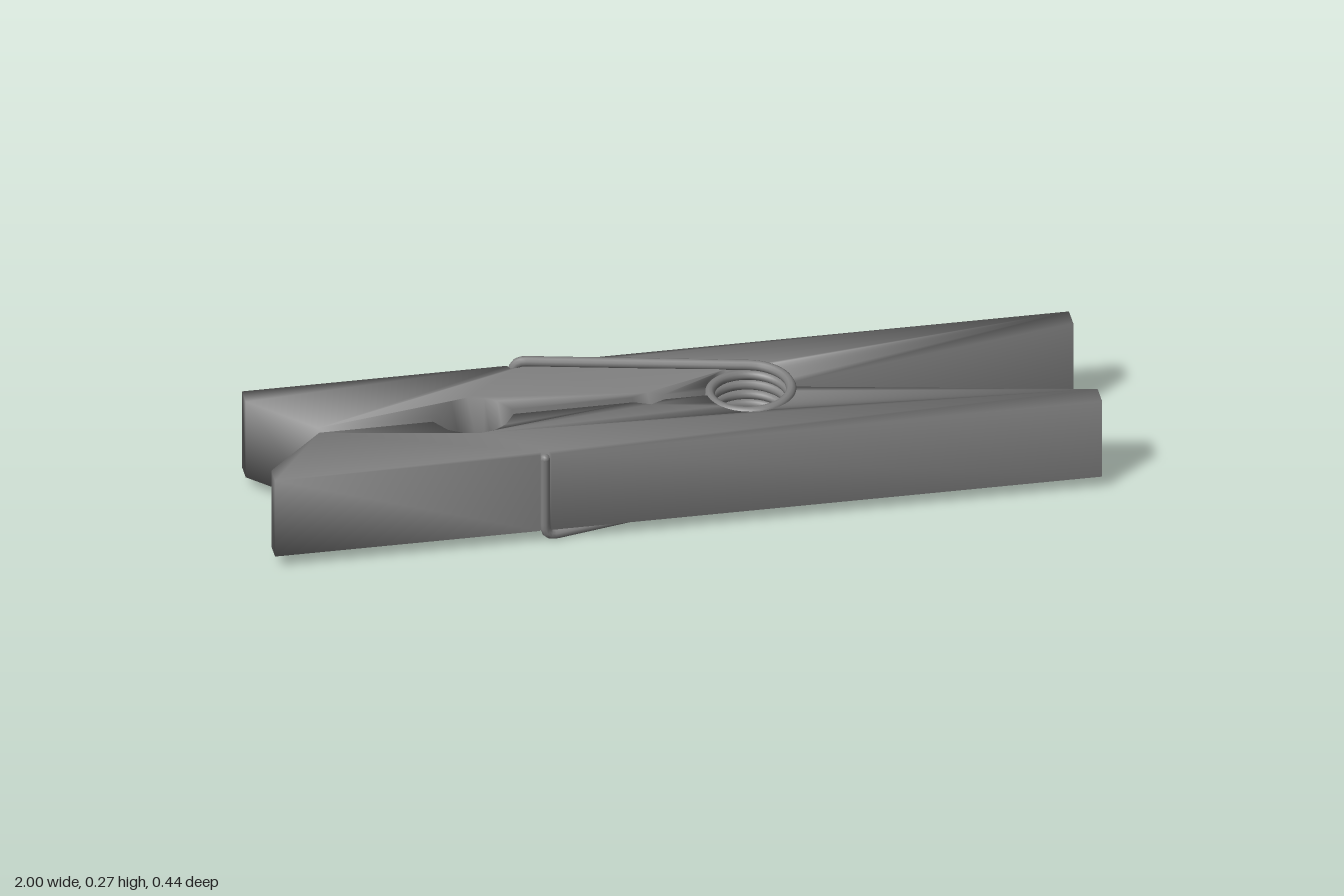
import * as THREE from 'three';
import { mergeVertices } from 'three/addons/utils/BufferGeometryUtils.js';

const BOTTOM = 0.034, TOP = 0.243;        // height range of the wooden arms
const COIL = { x: 0.19, z: 0.004, r: 0.097 };
const WIRE = 0.0125;
const MID = 0.005;                        // z of the gap between the arms
const GAP = 0.011, OUTER = 0.212;         // inner and outer faces, measured from MID
const SEAT = 0.108;                       // radius of the coil seat
const material = new THREE.MeshStandardMaterial({ color: 0x808080 });

// Wooden arm: outline in the x/z plane, extruded along y. side = +1 front, -1 back
function makeArm(side) {
  const pts = [
    [-1, OUTER], [-1, 0.163], [-0.855, GAP],                        // flared jaw
    [-0.58, GAP], [-0.552, 0.055], [-0.52, 0.075], [-0.48, 0.084],  // large grip notch
    [-0.44, 0.075], [-0.412, 0.055], [-0.385, GAP],
    [-0.095, GAP], [-0.055, 0.028], [-0.02, GAP],                   // small notch
  ];
  // round seat for the coil
  const a0 = Math.asin(GAP / SEAT);
  for (let i = 0; i <= 16; i++) {
    const a = Math.PI - a0 - (Math.PI - 2 * a0) * i / 16;
    pts.push([COIL.x + SEAT * Math.cos(a), SEAT * Math.sin(a)]);
  }
  pts.push(
    [1, 0.155], [1, OUTER],                                         // tapered handle
    [-0.331, OUTER], [-0.336, 0.198], [-0.354, 0.198], [-0.359, OUTER], // wire groove
  );
  const shape = new THREE.Shape(pts.map(([x, z]) => new THREE.Vector2(x, MID + side * z)));
  let geo = new THREE.ExtrudeGeometry(shape, { depth: TOP - BOTTOM, bevelEnabled: false });
  geo.rotateX(Math.PI / 2).translate(0, TOP, 0);
  // softly shaded wood: share the corners so the normals blend over the edges
  geo.deleteAttribute('normal');
  geo.deleteAttribute('uv');
  geo = mergeVertices(geo);
  geo.computeVertexNormals();
  return new THREE.Mesh(geo, material);
}

// Points of a leg, from the free end on the outer face to the coil
function legPoints(side, yFree, yBend, yCoil, coilPoint) {
  const corner = new THREE.Vector3(-0.345, yBend, side * 0.205);
  const coil = new THREE.Vector3(coilPoint.x, yCoil, coilPoint.z);
  const free = new THREE.Vector3(corner.x, yFree, corner.z);
  const bendA = corner.clone().lerp(free, 0.03 / corner.distanceTo(free));
  const bendB = corner.clone().lerp(coil, 0.03 / corner.distanceTo(coil));
  const pts = [];
  for (let i = 0; i < 6; i++) pts.push(free.clone().lerp(bendA, i / 6));
  pts.push(...new THREE.QuadraticBezierCurve3(bendA, corner, bendB).getPoints(6));
  for (let i = 1; i < 16; i++) pts.push(bendB.clone().lerp(coil, i / 16));
  return pts;
}

// Spring: one wire, lower leg -> coil -> upper leg
function makeSpring() {
  const start = THREE.MathUtils.degToRad(80), turns = 8 + 160 / 360;
  const yLow = 0.025, yHigh = 0.25, n = 204;
  const helix = [];
  for (let i = 0; i <= n; i++) {
    const t = i / n, a = start - t * turns * Math.PI * 2;
    helix.push(new THREE.Vector3(
      COIL.x + COIL.r * Math.cos(a),
      yLow + (yHigh - yLow) * t,
      COIL.z + COIL.r * Math.sin(a)));
  }
  const lower = legPoints(1, 0.225, 0.012, yLow, helix[0]);
  const upper = legPoints(-1, 0.05, 0.256, yHigh, helix[n]).reverse();
  const path = new THREE.CatmullRomCurve3([...lower, ...helix, ...upper]);
  path.arcLengthDivisions = 3000;

  const spring = new THREE.Group();
  const wire = new THREE.Mesh(new THREE.TubeGeometry(path, 560, WIRE, 10), material);
  wire.name = 'springWire';
  spring.add(wire);
  // rounded wire ends
  for (const t of [0, 1]) {
    const tip = new THREE.Mesh(new THREE.SphereGeometry(WIRE, 10, 8), material);
    tip.position.copy(path.getPoint(t));
    tip.name = 'wireTip';
    spring.add(tip);
  }
  return spring;
}

export function createModel() {
  const model = new THREE.Group();
  model.name = 'clothespin';
  const front = makeArm(1), back = makeArm(-1), spring = makeSpring();
  front.name = 'frontArm';
  back.name = 'backArm';
  spring.name = 'spring';
  model.add(front, back, spring);
  return model;
}
